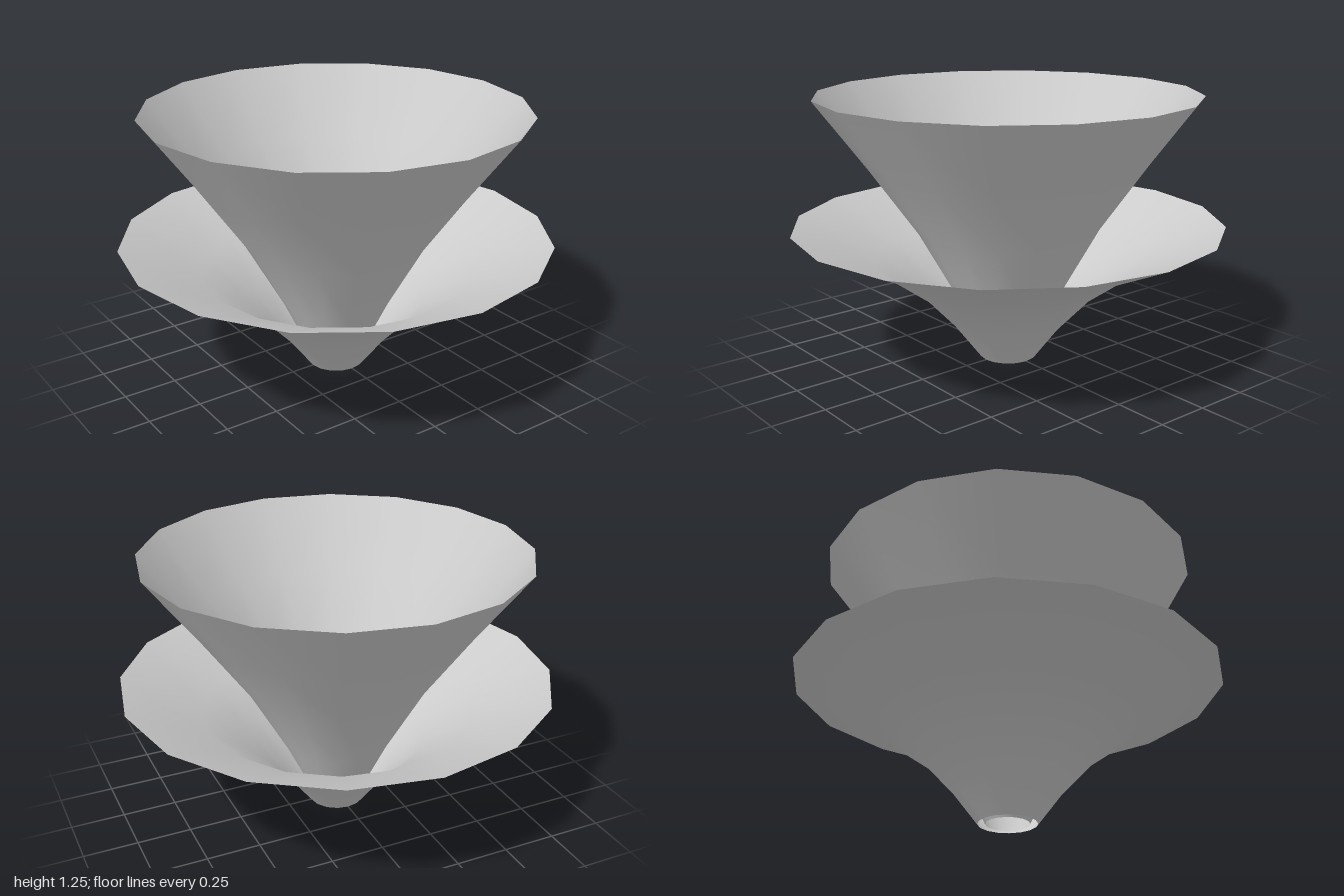
import * as THREE from 'three';

const SIDES = 16;

// Open, smooth-shaded flared shell turned from a [radius, height] profile
function flare(name, profile, material) {
  const points = profile.map(([r, y]) => new THREE.Vector2(r, y));
  const mesh = new THREE.Mesh(new THREE.LatheGeometry(points, SIDES), material);
  mesh.name = name;
  return mesh;
}

export function createModel() {
  const group = new THREE.Group();
  group.name = 'nestedFunnels';
  const material = new THREE.MeshStandardMaterial({ color: 0xcccccc, side: THREE.DoubleSide });

  // Low, wide outer funnel
  group.add(flare('outerFunnel', [
    [0.135, 0], [0.26, 0.165], [0.415, 0.33], [0.635, 0.49], [1, 0.657],
  ], material));

  // Tall, steeper inner funnel, open at both ends
  group.add(flare('innerFunnel', [
    [0.1, 0], [0.25, 0.314], [0.425, 0.628], [0.645, 0.94], [0.88, 1.255],
  ], material));

  return group;
}
